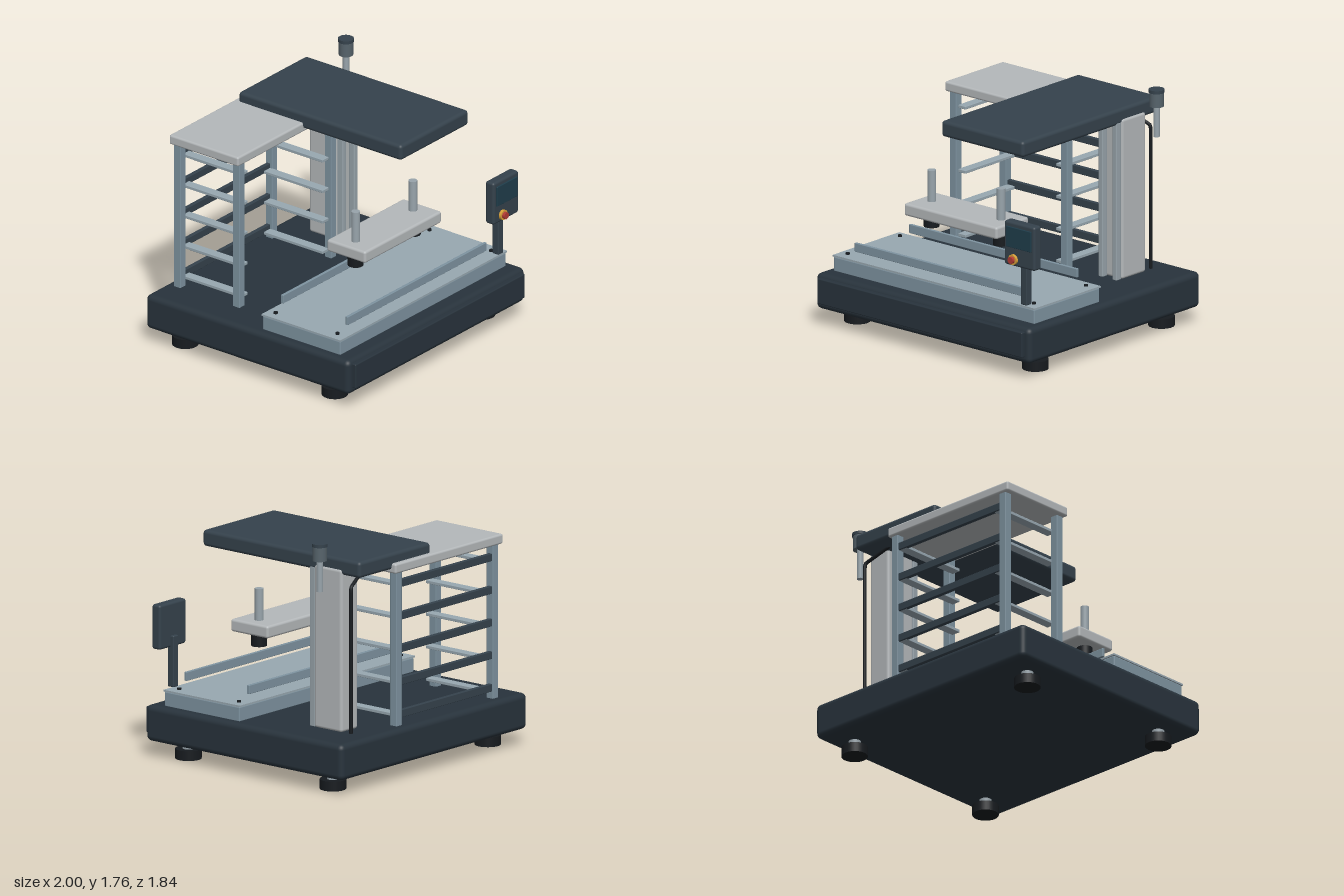
import * as THREE from 'three';
import { RoundedBoxGeometry } from 'three/addons/geometries/RoundedBoxGeometry.js';

const paint = (color) => new THREE.MeshStandardMaterial({ color });
const M = {
  dark: paint(0x28333c), black: paint(0x171b1f), slate: paint(0x35424c),
  steel: paint(0x7e93a0), plate: paint(0x98a8b1), pale: paint(0xb4b8ba),
  rod: paint(0x98a4ab), lamp: paint(0x56636b), screen: paint(0x1f3d4b),
  yellow: paint(0xd9a13a), red: paint(0xb23a34),
};

export function createModel() {
  const model = new THREE.Group();
  model.name = 'materialFeeder';

  const add = (name, geometry, material, x = 0, y = 0, z = 0) => {
    const mesh = new THREE.Mesh(geometry, material);
    mesh.name = name;
    mesh.position.set(x, y, z);
    model.add(mesh);
    return mesh;
  };
  // Box given by its extents, with softened edges when r > 0
  const box = (name, mat, [x0, x1], [y0, y1], [z0, z1], r = 0) => {
    const s = [x1 - x0, y1 - y0, z1 - z0];
    const g = r ? new RoundedBoxGeometry(...s, 3, r) : new THREE.BoxGeometry(...s);
    return add(name, g, mat, (x0 + x1) / 2, (y0 + y1) / 2, (z0 + z1) / 2);
  };
  // Upright cylinder from y0 to y1
  const post = (name, mat, r, x, z, y0, y1) =>
    add(name, new THREE.CylinderGeometry(r, r, y1 - y0, 32), mat, x, (y0 + y1) / 2, z);

  // Base with front panel and four feet
  box('base', M.dark, [-1, 1], [0.115, 0.375], [-0.92, 0.89], 0.04);
  box('frontPanel', M.dark, [-0.955, 0.955], [0.165, 0.35], [0.87, 0.92], 0.008);
  for (const x of [-0.83, 0.83]) for (const z of [0.635, -0.695]) {
    post('footPad', M.black, 0.093, x, z, 0, 0.07);
    post('footStem', M.rod, 0.043, x, z, 0.07, 0.13);
  }

  // Work deck with cover plate, screws and guide rails
  box('deck', M.steel, [-0.935, 0.935], [0.37, 0.477], [0.076, 0.766], 0.008);
  box('deckPlate', M.plate, [-0.94, 0.94], [0.477, 0.49], [0.07, 0.77]);
  for (const z of [0.14, 0.69]) for (const x of [-0.87, 0.865])
    post('deckScrew', M.black, 0.015, x, z, 0.48, 0.502);
  for (const z of [0.13, 0.705])
    box('guideRail', M.steel, [-0.785, 0.78], [0.533, 0.597], [z - 0.011, z + 0.011], 0.004);

  // Slotted rack: corner posts, shelf runners, rear cross bars, top
  for (const x of [-0.735, 0.3]) for (const z of [-0.295, -0.82])
    box('rackPost', M.steel, [x - 0.03, x + 0.03], [0.37, 1.49], [z - 0.03, z + 0.03], 0.005);
  for (let i = 0; i < 5; i++) {
    const y = 0.435 + i * 0.235;
    box('shelfRunner', M.plate, [-0.71, -0.64], [y - 0.011, y + 0.011], [-0.83, -0.29], 0.003);
    box('shelfRunner', M.plate, [0.205, 0.275], [y - 0.011, y + 0.011], [-0.83, -0.29], 0.003);
    box('rackCrossBar', M.slate, [-0.71, 0.275], [y - 0.01, y + 0.045], [-0.84, -0.81], 0.004);
  }
  box('rackTop', M.pale, [-0.8, 0.355], [1.478, 1.55], [-0.865, -0.25], 0.015);

  // Column with two linear rails and the head arm
  box('column', M.pale, [0.53, 0.71], [0.37, 1.545], [-0.67, -0.415], 0.022);
  for (const x of [0.55, 0.68])
    box('columnRail', M.rod, [x - 0.02, x + 0.02], [0.37, 1.525], [-0.418, -0.367], 0.008);
  box('headArm', M.slate, [-0.065, 0.7], [1.505, 1.622], [-0.828, 0.62], 0.025);

  // Cable behind the column
  const cable = new THREE.CurvePath();
  const pts = [[0.69, 0.37, -0.74], [0.69, 1.38, -0.74], [0.68, 1.43, -0.735], [0.49, 1.52, -0.69]]
    .map((p) => new THREE.Vector3(...p));
  cable.add(new THREE.LineCurve3(pts[0], pts[1]));
  cable.add(new THREE.QuadraticBezierCurve3(pts[1], new THREE.Vector3(0.69, 1.425, -0.74), pts[2]));
  cable.add(new THREE.LineCurve3(pts[2], pts[3]));
  add('cable', new THREE.TubeGeometry(cable, 64, 0.013, 10), M.black);

  // Gripper plate with rods and suction cups
  box('gripperPlate', M.pale, [-0.435, 0.43], [0.842, 0.932], [0.25, 0.593], 0.018);
  for (const x of [-0.325, 0.32]) {
    post('gripperRod', M.rod, 0.031, x, 0.422, 0.92, 1.16);
    post('suctionCup', M.black, 0.056, x, 0.422, 0.748, 0.845);
  }

  // Signal lamp
  post('lampPole', M.rod, 0.023, 0.865, -0.603, 1.41, 1.64);
  post('lampBody', M.lamp, 0.051, 0.865, -0.603, 1.633, 1.735);
  post('lampCap', M.slate, 0.056, 0.865, -0.603, 1.735, 1.758);

  // Control pendant with screen and stop button
  box('pendantStand', M.slate, [0.825, 0.88], [0.5, 0.87], [0.73, 0.785], 0.008);
  box('pendant', M.slate, [0.71, 0.995], [0.785, 1.107], [0.757, 0.833], 0.018);
  box('pendantScreen', M.screen, [0.738, 0.968], [0.922, 1.072], [0.825, 0.843], 0.004);
  const knob = (name, mat, r, z0, z1) => {
    const g = new THREE.CylinderGeometry(r, r, z1 - z0, 32).rotateX(Math.PI / 2);
    add(name, g, mat, 0.805, 0.838, (z0 + z1) / 2);
  };
  knob('stopCollar', M.yellow, 0.037, 0.825, 0.853);
  knob('stopButton', M.red, 0.025, 0.85, 0.874);

  return model;
}
